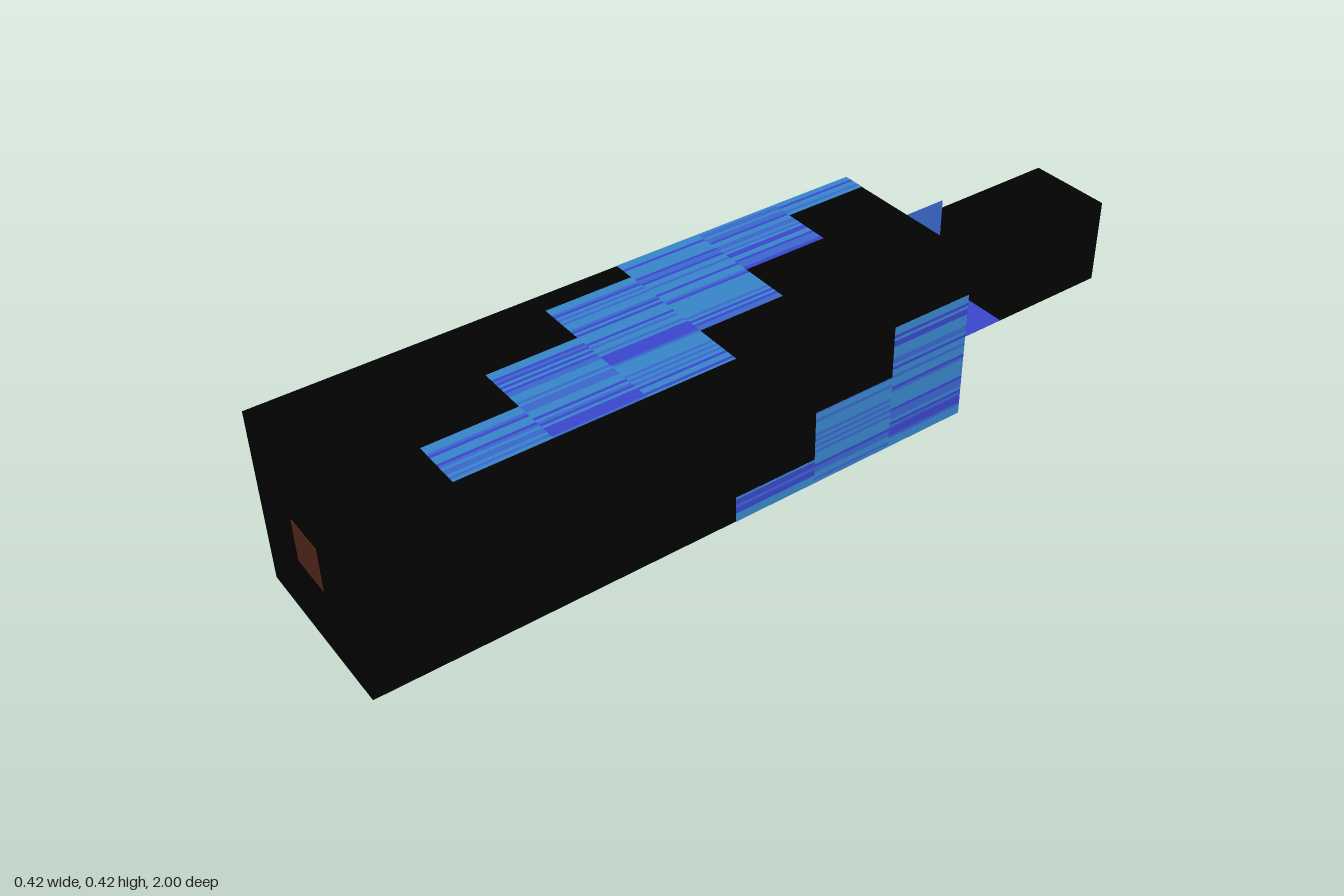
import * as THREE from 'three';
import { mergeGeometries } from 'three/addons/utils/BufferGeometryUtils.js';

const mat = (name, color, side = THREE.FrontSide) =>
  Object.assign(new THREE.MeshStandardMaterial({ color, side }), { name });

const HALF = 0.21;   // half width of the body
const BACK = -0.475; // where body meets handle
const SKIN = 0.001;  // thickness of painted plates

export function createModel() {
  const black = mat('black', 0x020202);
  const brown = mat('brown', 0x54291c);
  const lightBlue = mat('lightBlue', 0x3886cb, THREE.DoubleSide);
  const midBlue = mat('midBlue', 0x3a68cd, THREE.DoubleSide);
  const indigo = mat('indigo', 0x3a47cd, THREE.DoubleSide);
  const blues = [lightBlue, midBlue, indigo];

  const model = new THREE.Group();
  model.name = 'model';

  let seed = 7;
  const random = () => (seed = (seed * 16807) % 2147483647) / 2147483647;

  // Box given by its opposite corners
  const boxGeo = (a, b) => new THREE.BoxGeometry(b[0] - a[0], b[1] - a[1], b[2] - a[2])
    .translate((a[0] + b[0]) / 2, (a[1] + b[1]) / 2, (a[2] + b[2]) / 2);
  const box = (name, a, b, material) => {
    const mesh = new THREE.Mesh(boxGeo(a, b), material);
    mesh.name = name;
    model.add(mesh);
  };

  // Stepped patch: cells [along0, along1, across0, across1], cut into thin
  // coloured streaks, the first one light; place() gives each plate's corners
  const patch = (name, cells, place) => {
    const group = new THREE.Group();
    group.name = name;
    const sets = [[], [], []];
    const step = 2 * HALF / 56;
    for (const [l0, l1, c0, c1] of cells) {
      for (let c = c0; c < c1 - 1e-6; c += step) {
        const r = c === c0 ? 0 : random();
        const pick = r < 0.55 ? 0 : r < 0.8 ? 1 : 2;
        sets[pick].push(boxGeo(...place(l0, l1, c, Math.min(c + step, c1))));
      }
    }
    sets.forEach((set, i) => {
      if (!set.length) return;
      const mesh = new THREE.Mesh(mergeGeometries(set), blues[i]);
      mesh.name = name + 'Streaks';
      group.add(mesh);
    });
    model.add(group);
  };

  // Solid parts
  box('body', [-HALF, 0, BACK], [HALF, 0.42, 1 - SKIN], black);
  box('handle', [-0.105, 0.105, -1], [0.105, 0.315, BACK], black);
  box('frontSquare', [-0.053, 0.158, 1 - 2 * SKIN], [0.053, 0.263, 1], brown);

  // Four thin fins around the handle
  const t = 0.001, finEnd = -0.58;
  box('topFin', [-t, 0.315, finEnd], [t, 0.42, BACK], midBlue);
  box('bottomFin', [-t, 0, finEnd], [t, 0.105, BACK], lightBlue);
  for (const side of [-1, 1]) {
    const x = side * 0.1575;
    box(side > 0 ? 'leftFin' : 'rightFin',
      [x - 0.0525, 0.21 - t, finEnd], [x + 0.0525, 0.21 + t, BACK], indigo);
  }

  // Diagonal stepped band on top
  patch('topBand', [
    [-0.475, -0.265, -0.21, -0.155],
    [-0.265, -0.055, -0.21, -0.035],
    [-0.055, 0.155, -0.21, 0.09],
    [0.155, 0.365, -0.155, 0.21],
    [0.365, 0.575, -0.035, 0.21],
    [0.575, 0.785, 0.09, 0.21],
  ], (z0, z1, x0, x1) => [[x0, 0.42, z0], [x1, 0.42 + SKIN, z1]]);

  // Steps on the left side, rising to the back
  patch('sidePatch', [
    [-0.055, 0.155, 0, 0.065],
    [-0.265, -0.055, 0, 0.19],
    [-0.475, -0.265, 0, 0.32],
  ], (z0, z1, y0, y1) => [[HALF, y0, z0], [HALF + SKIN, y1, z1]]);

  // Steps underneath, widening to the front
  patch('bottomPatch', [
    [0.365, 0.575, -0.21, -0.1],
    [0.575, 0.785, -0.21, 0.045],
    [0.785, 1 - SKIN, -0.21, 0.17],
  ], (z0, z1, x0, x1) => [[x0, -SKIN, z0], [x1, 0, z1]]);

  // Steps on the right side of the handle
  patch('handlePatch', [
    [-1, -0.81, 0.105, 0.135],
    [-0.81, -0.645, 0.105, 0.225],
    [-0.645, -0.475, 0.105, 0.315],
  ], (z0, z1, y0, y1) => [[-0.105 - SKIN, y0, z0], [-0.105, y1, z1]]);

  // Strip at the foot of the body's back
  box('backStrip', [-HALF, 0, BACK - SKIN], [-0.03, 0.08, BACK], lightBlue);

  return model;
}
